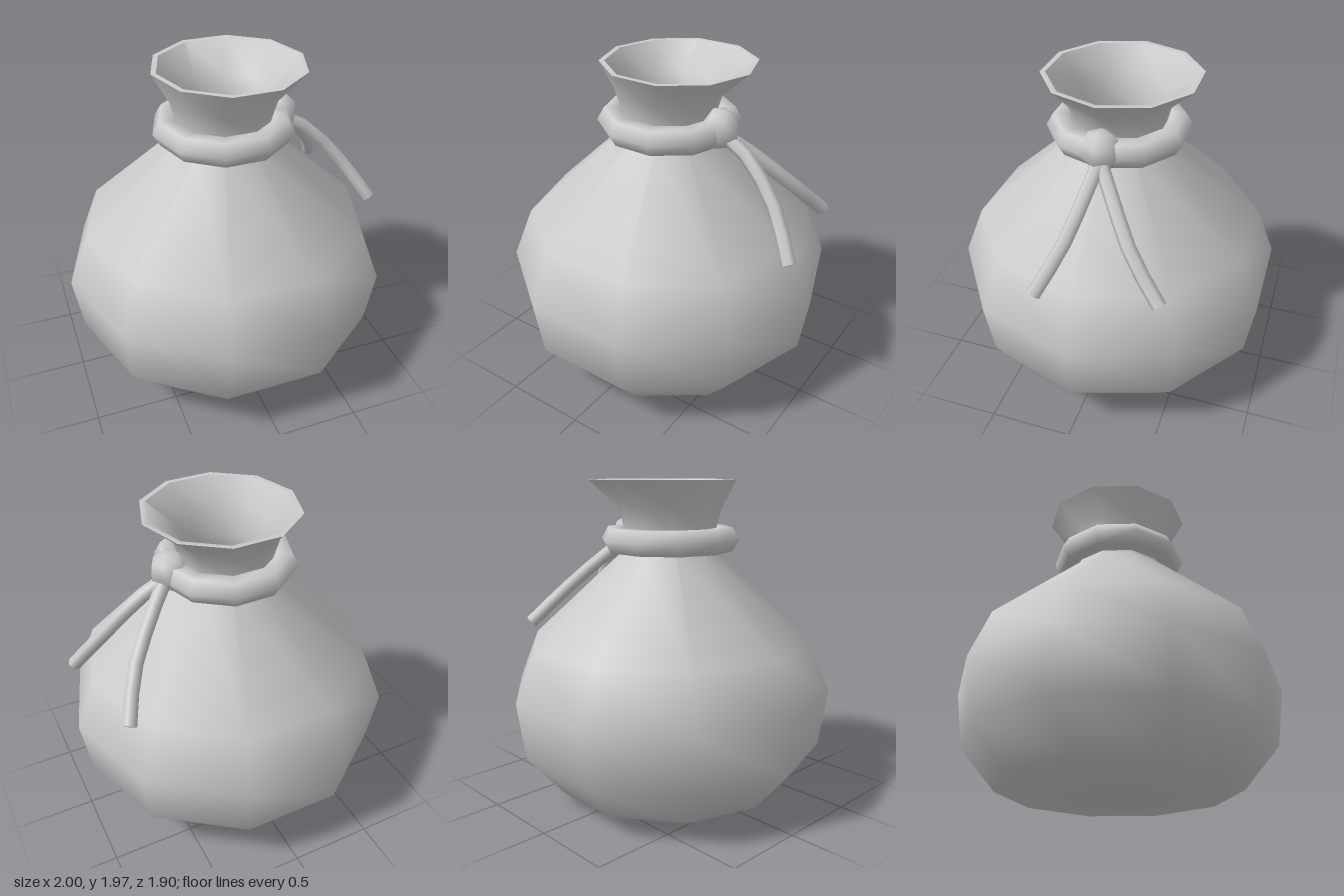
import * as THREE from 'three';
import { toCreasedNormals } from 'three/addons/utils/BufferGeometryUtils.js';

const SIDES = 10;
const material = new THREE.MeshStandardMaterial({ color: 0xcccccc });

function addMesh(parent, name, geometry) {
  const mesh = new THREE.Mesh(geometry, material);
  mesh.name = name;
  parent.add(mesh);
  return mesh;
}

// Cloth bag: outer wall from bottom to rim, then the inner wall back down
function bagGeometry() {
  const profile = [
    [0, 0.005], [0.3, 0.03], [0.73, 0.08], [0.95, 0.34], [1, 0.69], [0.875, 1],
    [0.29, 1.54], [0.275, 1.64], [0.32, 1.8], [0.457, 1.97],
    [0.425, 1.97], [0.29, 1.81], [0.245, 1.64], [0.26, 1.52],
    [0.845, 0.99], [0.97, 0.69], [0.92, 0.35], [0.71, 0.11], [0, 0.04],
  ].map(([r, y]) => new THREE.Vector2(r, y));
  const geometry = new THREE.LatheGeometry(profile, SIDES, Math.PI / 2);

  // The flared mouth leans slightly sideways and back
  const p = geometry.attributes.position;
  for (let i = 0; i < p.count; i++) {
    const lean = Math.max(0, (p.getY(i) - 1.81) / 0.16);
    p.setX(i, p.getX(i) + 0.045 * lean);
    p.setZ(i, p.getZ(i) - 0.03 * lean);
  }
  return toCreasedNormals(geometry, 0.84);
}

// Loose rope end with a closed tip
function addRopeEnd(parent, name, points) {
  const radius = 0.042;
  const curve = new THREE.CatmullRomCurve3(points.map((v) => new THREE.Vector3(...v)));
  const group = new THREE.Group();
  group.name = name;
  addMesh(group, 'cord', new THREE.TubeGeometry(curve, 5, radius, 6));

  const frames = curve.computeFrenetFrames(5);
  const tip = addMesh(group, 'cordTip', new THREE.CircleGeometry(radius, 6));
  tip.position.copy(curve.getPoint(1));
  tip.quaternion.setFromRotationMatrix(new THREE.Matrix4().makeBasis(
    frames.normals[5], frames.binormals[5].clone(), frames.tangents[5],
  ));
  parent.add(group);
}

export function createModel() {
  const model = new THREE.Group();
  model.name = 'tiedSack';

  addMesh(model, 'bag', bagGeometry());

  // Rope around the neck
  const ring = addMesh(model, 'ropeRing', new THREE.TorusGeometry(0.345, 0.083, 6, SIDES));
  ring.rotation.x = Math.PI / 2;
  ring.position.y = 1.615;

  // Knot on the left side
  const knot = addMesh(model, 'knot', new THREE.SphereGeometry(0.122, 6, 4));
  knot.rotation.z = -0.35;
  knot.position.set(0.345, 1.635, 0);

  addRopeEnd(model, 'frontRopeEnd', [
    [0.37, 1.6, -0.01], [0.54, 1.5, 0.005], [0.76, 1.27, 0.07], [0.925, 1.025, 0.19],
  ]);
  addRopeEnd(model, 'backRopeEnd', [
    [0.37, 1.6, 0], [0.51, 1.47, -0.115], [0.7, 1.25, -0.29], [0.82, 1.04, -0.485],
  ]);

  return model;
}
